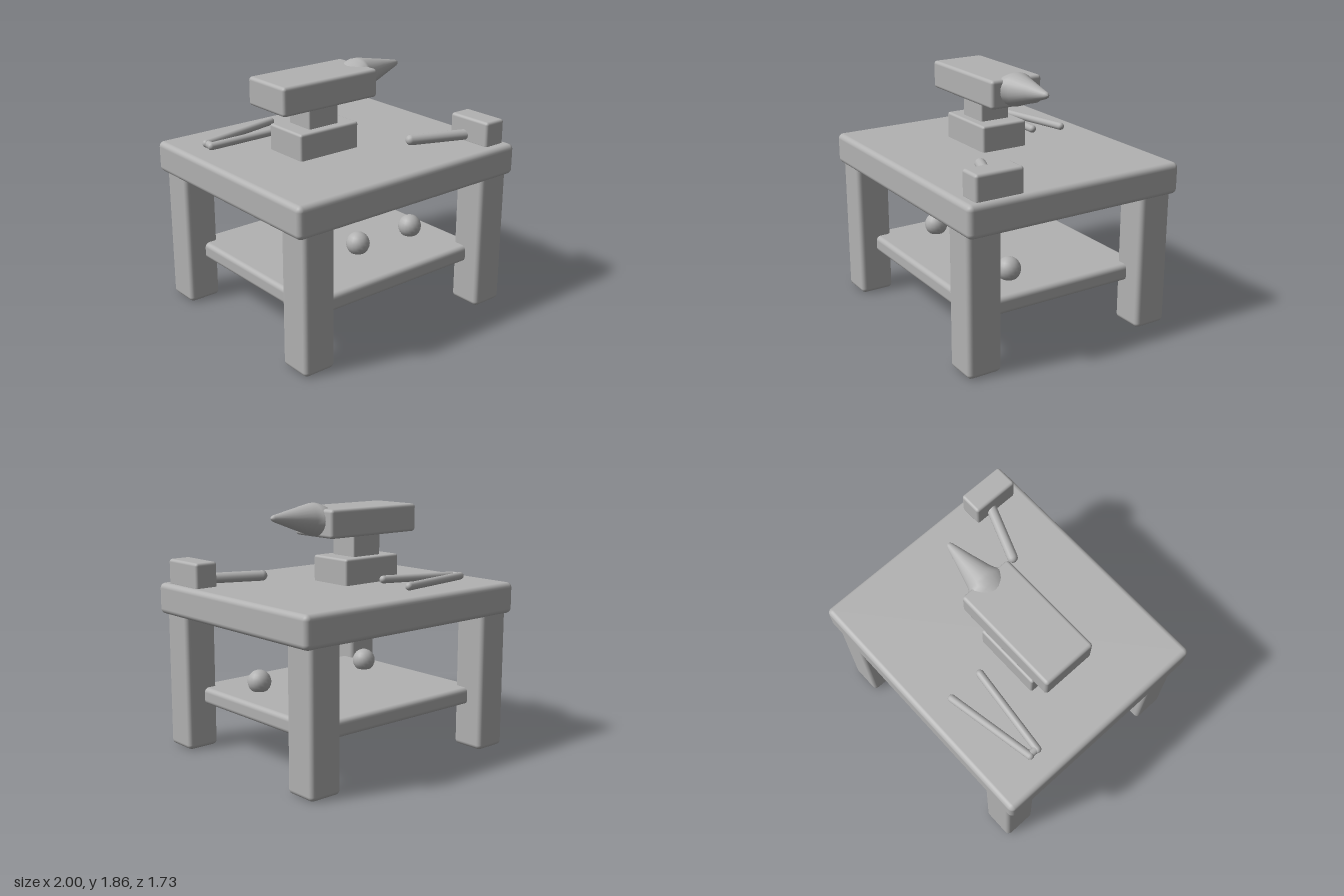
import * as THREE from 'three';
import { RoundedBoxGeometry } from 'three/addons/geometries/RoundedBoxGeometry.js';

const grey = new THREE.MeshStandardMaterial({ color: 0xb2b2b2 });
grey.name = 'plain grey';

function add(parent, name, geometry) {
  const mesh = new THREE.Mesh(geometry, grey);
  mesh.name = name;
  parent.add(mesh);
  return mesh;
}

// Rounded box given by its extents on each axis
function block(parent, name, [x0, x1], [y0, y1], [z0, z1], r) {
  const mesh = add(parent, name, new RoundedBoxGeometry(x1 - x0, y1 - y0, z1 - z0, 3, r));
  mesh.position.set((x0 + x1) / 2, (y0 + y1) / 2, (z0 + z1) / 2);
  return mesh;
}

// Round rod with soft ends, from point a to point b
function rod(parent, name, a, b, r) {
  const from = new THREE.Vector3(...a), to = new THREE.Vector3(...b);
  const dir = to.clone().sub(from);
  const mesh = add(parent, name, new THREE.CapsuleGeometry(r, dir.length() - 2 * r, 4, 14));
  mesh.position.copy(from).add(to).multiplyScalar(0.5);
  mesh.quaternion.setFromUnitVectors(new THREE.Vector3(0, 1, 0), dir.normalize());
  return mesh;
}

// Horn skinned over elliptical sections: [x, centre y, half height, half width]
function hornGeometry() {
  const sections = [
    [0.08, 1.715, 0.09, 0.1], [0.15, 1.725, 0.112, 0.15], [0.2, 1.732, 0.122, 0.16],
    [0.23, 1.734, 0.122, 0.135], [0.27, 1.737, 0.112, 0.113], [0.42, 1.75, 0.07, 0.068],
    [0.58, 1.764, 0.024, 0.024], [0.595, 1.765, 0.016, 0.016], [0.602, 1.765, 0.001, 0.001],
  ];
  const n = 24, positions = [], index = [];
  sections.forEach(([x, y, h, w], i) => {
    for (let j = 0; j < n; j++) {
      const a = (j / n) * Math.PI * 2;
      positions.push(x, y + h * Math.cos(a), w * Math.sin(a));
      if (i === 0) continue;
      const k = (j + 1) % n, p = (i - 1) * n, q = i * n;
      index.push(p + j, p + k, q + j, p + k, q + k, q + j);
    }
  });
  const g = new THREE.BufferGeometry();
  g.setAttribute('position', new THREE.Float32BufferAttribute(positions, 3));
  g.setIndex(index);
  g.computeVertexNormals();
  return g;
}

export function createModel() {
  const model = new THREE.Group();
  model.name = 'anvilWorkbench';

  // Bench: top, four legs and a shelf reaching into the legs
  const bench = new THREE.Group();
  bench.name = 'bench';
  model.add(bench);
  block(bench, 'tableTop', [-1, 1], [1.02, 1.253], [-0.865, 0.865], 0.04);
  for (const sx of [-1, 1]) {
    for (const sz of [-1, 1]) {
      const leg = add(bench, 'leg', new RoundedBoxGeometry(0.256, 1.08, 0.26, 3, 0.035));
      leg.position.set(sx * 0.817, 0.54, sz * 0.715);
    }
  }
  block(bench, 'shelf', [-0.8, 0.8], [0.335, 0.462], [-0.71, 0.71], 0.035);

  // Balls resting on the shelf
  for (const x of [-0.527, 0, 0.527]) {
    const ball = add(model, 'ball', new THREE.SphereGeometry(0.089, 18, 12));
    ball.position.set(x, 0.53, 0.265);
  }

  // Anvil
  const anvil = new THREE.Group();
  anvil.name = 'anvil';
  model.add(anvil);
  block(anvil, 'anvilBase', [-0.46, 0.063], [1.22, 1.447], [-0.185, 0.185], 0.018);
  block(anvil, 'anvilNeck', [-0.333, -0.07], [1.42, 1.64], [-0.118, 0.118], 0.012);
  block(anvil, 'anvilBody', [-0.62, 0.222], [1.608, 1.817], [-0.21, 0.21], 0.025);
  add(anvil, 'anvilHorn', hornGeometry());

  // Hammer lying at the front corner
  const hammer = new THREE.Group();
  hammer.name = 'hammer';
  model.add(hammer);
  block(hammer, 'hammerHead', [0.775, 0.955], [1.235, 1.435], [0.42, 0.787], 0.022);
  rod(hammer, 'hammerHandle', [0.345, 1.296, 0.392], [0.86, 1.296, 0.592], 0.04);

  // Tongs lying open at the back
  const tongs = new THREE.Group();
  tongs.name = 'tongs';
  model.add(tongs);
  rod(tongs, 'tongsArm', [-0.825, 1.28, -0.505], [-0.1, 1.288, -0.643], 0.029);
  rod(tongs, 'tongsArm', [-0.825, 1.276, -0.445], [-0.1, 1.307, -0.37], 0.029);
  rod(tongs, 'tongsJoint', [-0.79, 1.277, -0.535], [-0.79, 1.277, -0.425], 0.028);

  return model;
}
